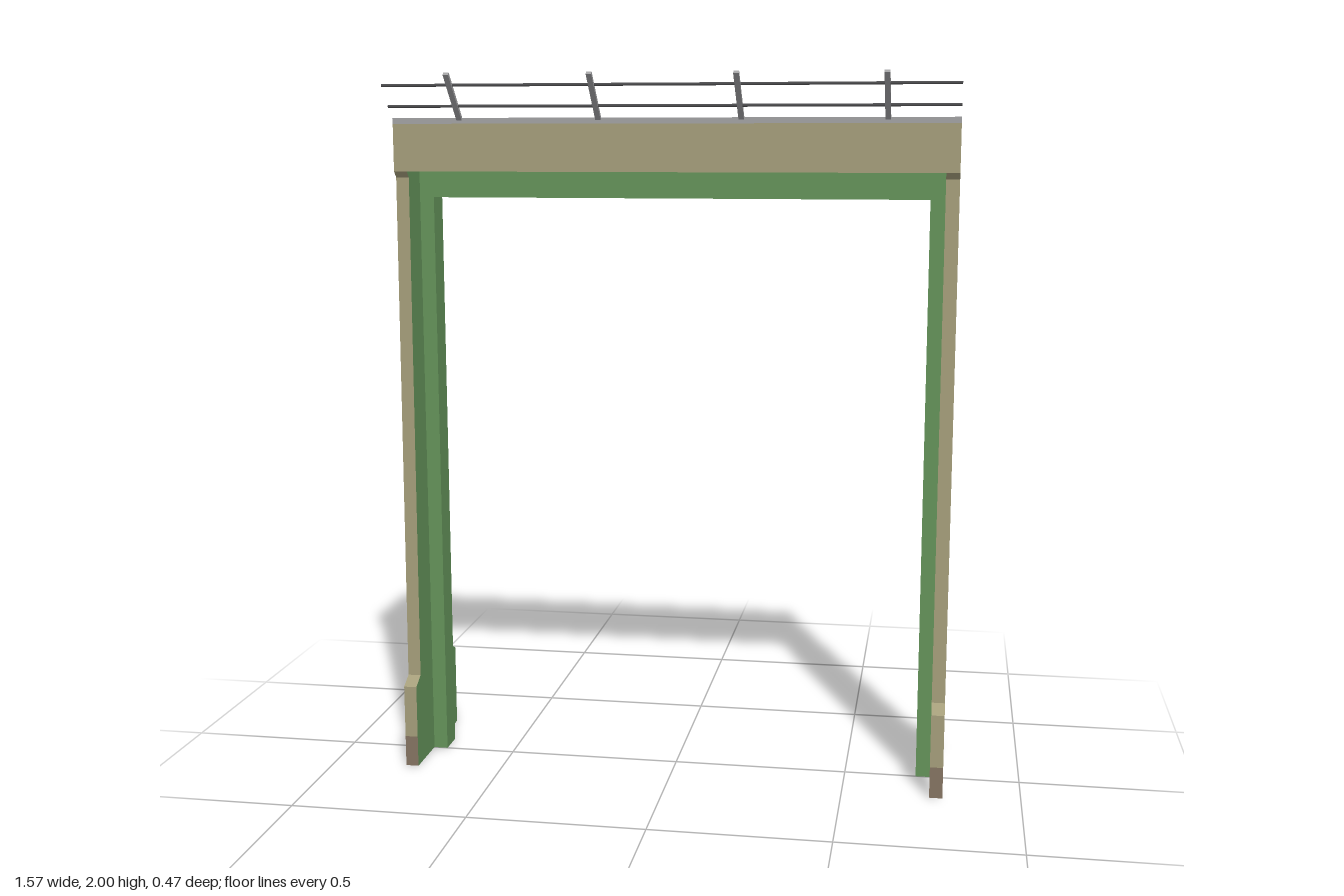
import * as THREE from 'three';

const mat = (name, color) => new THREE.MeshStandardMaterial({ name, color, side: THREE.DoubleSide });

// Flat-shaded sheet ruled between two polylines of [x, y, z] points
function sheet(a, b) {
  const pos = [];
  for (let i = 0; i < a.length - 1; i++) {
    pos.push(...a[i], ...b[i], ...b[i + 1], ...a[i], ...b[i + 1], ...a[i + 1]);
  }
  const g = new THREE.BufferGeometry();
  g.setAttribute('position', new THREE.Float32BufferAttribute(pos, 3));
  g.computeVertexNormals();
  return g;
}

export function createModel() {
  const model = new THREE.Group();
  const tan = mat('tan wall', 0xa59e7b);
  const brown = mat('brown plinth', 0x857462);
  const green = mat('green lining', 0x64935a);
  const grey = mat('grey metal', 0xa2a2a4);
  const dark = mat('dark wire', 0x505052);

  const add = (name, geo, material) => {
    const m = new THREE.Mesh(geo, material);
    m.name = name;
    model.add(m);
    return m;
  };

  const XO = 0.783, XI = 0.746, XS = 0.705;     // outer edge, lining, stop
  const YB = 1.735, YT = 1.87, YS = 1.66;       // beam bottom, beam top, stop
  const ZC = -0.04, BEAM = 0.154, STOP = 0.04;  // depth centre and half depths

  // Half depth of a leg by height: [height, half depth]
  const plinth = [[0, 0.196], [0.09, 0.196]];
  const shaft = [[0.09, 0.196], [0.242, 0.196], [0.265, 0.154], [1.718, 0.137], [YB, BEAM]];
  const full = [...plinth, ...shaft.slice(1)];

  for (const sx of [1, -1]) {
    const side = sx > 0 ? 'left' : 'right';
    for (const sz of [1, -1]) {
      const end = sz > 0 ? 'Front' : 'Back';
      const line = (pts, x) => pts.map(([y, d]) => [sx * x, y, ZC + sz * d]);
      // Narrow wall faces of the leg
      add(`${side}${end}Plinth`, sheet(line(plinth, XI), line(plinth, XO)), brown);
      add(`${side}${end}LegFace`, sheet(line(shaft, XI), line(shaft, XO)), tan);
      // Lining from the leg edge to the stop
      add(`${side}${end}Lining`, sheet(line(full, XI), line(full.map(([y]) => [y, STOP]), XI)), green);
    }
  }

  // Overhead lining and the hollow stop running round the opening
  const rim = (x, y, z) => [[-x, 0, z], [-x, y, z], [x, y, z], [x, 0, z]];
  for (const sz of [1, -1]) {
    const zs = ZC + sz * STOP, zb = ZC + sz * BEAM;
    const end = sz > 0 ? 'front' : 'back';
    add(`${end}HeadLining`, sheet([[-XI, YB, zb], [XI, YB, zb]], [[-XI, YB, zs], [XI, YB, zs]]), green);
    add(`${end}StopFace`, sheet(rim(XI, YB, zs), rim(XS, YS, zs)), green);
  }
  add('stopInnerFace', sheet(rim(XS, YS, ZC + STOP), rim(XS, YS, ZC - STOP)), green);

  // Beam: front, top and back, open at both ends
  const beam = x => [[x, YB, ZC + BEAM], [x, YT, ZC + BEAM], [x, YT, ZC - BEAM], [x, YB, ZC - BEAM]];
  add('beam', sheet(beam(-XO), beam(XO)), tan);

  // Metal edge strip along the front of the beam
  const zf = ZC + BEAM;
  const strip = x => [[x, YT - 0.004, zf + 0.002], [x, 1.882, zf + 0.002], [x, 1.882, zf - 0.016], [x, YT, zf - 0.016]];
  add('edgeStrip', sheet(strip(-XO), strip(XO)), grey);

  // Leaning posts
  for (const x of [-0.59, -0.197, 0.197, 0.59]) {
    const post = add('railPost', new THREE.BoxGeometry(0.015, 0.167, 0.01), grey);
    post.position.set(x, 1.938, 0.174);
    post.rotation.x = Math.PI / 4;
  }

  // Wires strung through the posts
  for (const [y, z] of [[1.913, 0.149], [1.968, 0.2]]) {
    const wire = add('railWire', new THREE.CylinderGeometry(0.004, 0.004, 2 * XO, 4, 1, true), dark);
    wire.position.set(0, y, z);
    wire.rotation.z = Math.PI / 2;
  }
  return model;
}
